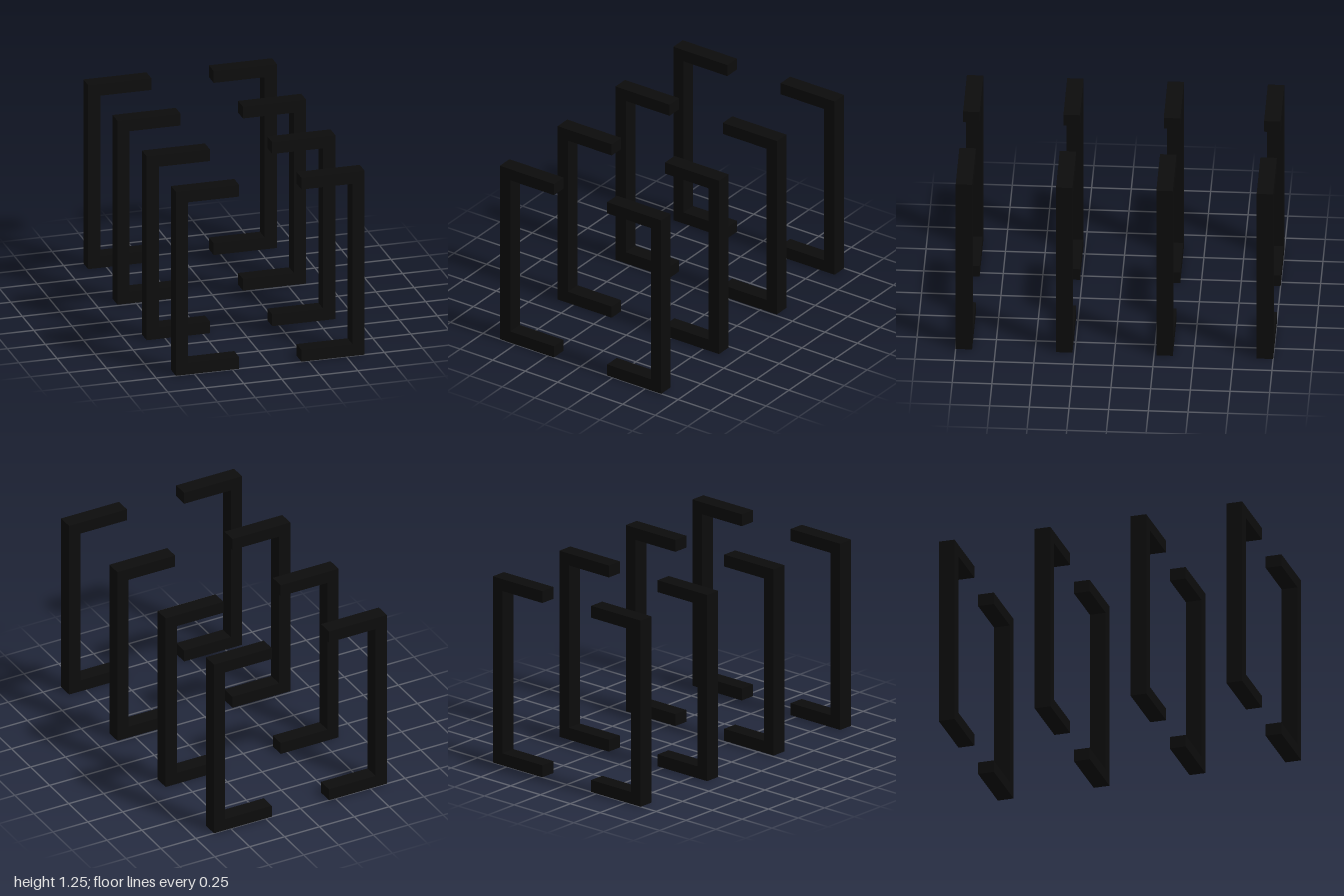
import * as THREE from 'three';

const HALF_WIDTH = 0.62, HEIGHT = 1.245, BAR = 0.08, GAP = 0.205, DEPTH = 0.104;

// C-shaped bracket opening toward the centre; side is +1 (left) or -1 (right)
function bracketGeometry(side) {
  const inner = HALF_WIDTH - BAR;
  const points = [
    [GAP, 0], [HALF_WIDTH, 0], [HALF_WIDTH, HEIGHT], [GAP, HEIGHT],
    [GAP, HEIGHT - BAR], [inner, HEIGHT - BAR], [inner, BAR], [GAP, BAR],
  ].map(([x, y]) => new THREE.Vector2(x * side, y));
  const geometry = new THREE.ExtrudeGeometry(new THREE.Shape(points), { depth: DEPTH, bevelEnabled: false });
  geometry.translate(0, 0, -DEPTH / 2);
  return geometry;
}

export function createModel() {
  const model = new THREE.Group();
  model.name = 'bracketFrames';
  const black = new THREE.MeshStandardMaterial({ color: 0x0c0c0c });
  black.name = 'matteBlack';

  const left = bracketGeometry(1);
  const right = bracketGeometry(-1);

  // Four evenly spaced frames, each a facing pair of brackets
  const frontZ = 1 - DEPTH / 2;
  for (let i = 0; i < 4; i++) {
    const frame = new THREE.Group();
    frame.name = `frame${i + 1}`;
    frame.position.z = frontZ * (1 - (2 * i) / 3);
    for (const [name, geometry] of [['leftBracket', left], ['rightBracket', right]]) {
      const mesh = new THREE.Mesh(geometry, black);
      mesh.name = name;
      frame.add(mesh);
    }
    model.add(frame);
  }
  return model;
}
